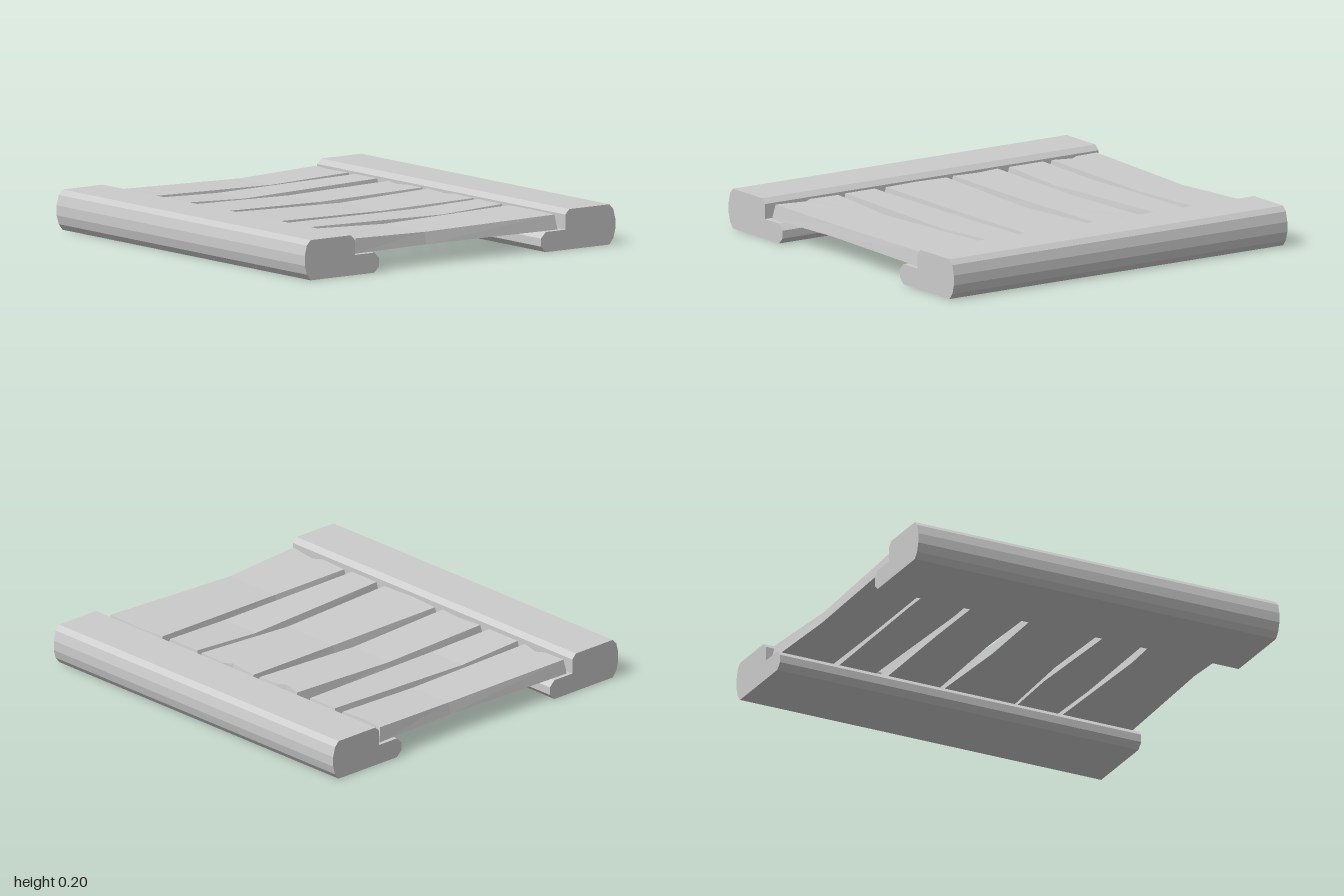
import * as THREE from 'three';

const material = new THREE.MeshStandardMaterial({ color: 0xcccccc, flatShading: true });

const BOTTOM = 0.1, TOP = 0.174, SAG = 0.16, INSET = 0.011;

// Stepped, chamfered side rail running the full length; side is +1 or -1
function makeRail(side) {
  const profile = [
    [0.53, 0], [0.923, 0], [0.947, 0.03], [0.96, 0.075], [0.96, 0.125], [0.947, 0.175], [0.923, 0.2],
    [0.675, 0.2], [0.651, 0.175], [0.651, 0.1], [0.53, 0.1], [0.5, 0.07], [0.5, 0.03],
  ];
  const shape = new THREE.Shape(profile.map(([x, y]) => new THREE.Vector2(x * side, y)));
  const geometry = new THREE.ExtrudeGeometry(shape, { depth: 2, bevelEnabled: false });
  geometry.translate(0, 0, -1);
  return new THREE.Mesh(geometry, material);
}

// Move an outline inwards by a fixed distance (mitred corners)
function insetOutline(points, distance) {
  const n = points.length;
  const normal = (a, b) => {
    const d = b.clone().sub(a).normalize();
    return new THREE.Vector2(-d.y, d.x);
  };
  return points.map((p, i) => {
    const n1 = normal(points[(i + n - 1) % n], p);
    const n2 = normal(p, points[(i + 1) % n]);
    return p.clone().addScaledVector(n1.clone().add(n2), distance / (1 + n1.dot(n2)));
  });
}

// Worn plank: left end runs back to front, right end front to back,
// joined by a bend point on each long edge; top is tapered and sags at the bend
function makePlank({ left, frontMid, right, backMid }) {
  const outline = [backMid, ...left, frontMid, ...right].map(([x, z]) => new THREE.Vector2(x, -z));
  const topOutline = insetOutline(outline, INSET);
  const n = outline.length, bend = left.length + 1;
  const low = outline.map((p) => [p.x, BOTTOM, -p.y]);
  const high = topOutline.map((p, i) => [p.x, i === 0 || i === bend ? SAG : TOP, -p.y]);
  const positions = [];
  const tri = (a, b, c) => positions.push(...a, ...b, ...c);

  // Sloping sides
  for (let i = 0; i < n; i++) {
    const j = (i + 1) % n;
    tri(low[i], low[j], high[j]);
    tri(low[i], high[j], high[i]);
  }
  // Top and bottom, split in two at the bend
  const indices = outline.map((_, i) => i);
  for (const half of [indices.slice(0, bend + 1), [...indices.slice(bend), 0]]) {
    const faces = THREE.ShapeUtils.triangulateShape(half.map((i) => topOutline[i]), []);
    for (const face of faces) {
      const [a, b, c] = face.map((k) => half[k]);
      tri(high[a], high[b], high[c]);
    }
    for (const face of THREE.ShapeUtils.triangulateShape(half.map((i) => outline[i]), [])) {
      const [a, b, c] = face.map((k) => half[k]);
      tri(low[c], low[b], low[a]);
    }
  }
  const geometry = new THREE.BufferGeometry();
  geometry.setAttribute('position', new THREE.Float32BufferAttribute(positions, 3));
  geometry.computeVertexNormals();
  return new THREE.Mesh(geometry, material);
}

// Plank outlines as [x, z], from the back to the front
const planks = [
  {
    left: [[-0.632, -0.98], [-0.627, -0.84], [-0.6, -0.8], [-0.632, -0.685]], frontMid: [0.135, -0.683],
    right: [[0.628, -0.69], [0.612, -0.84], [0.628, -0.98]], backMid: [0.135, -0.96],
  },
  {
    left: [[-0.628, -0.655], [-0.628, -0.43]], frontMid: [-0.235, -0.42],
    right: [[0.624, -0.457], [0.624, -0.655]], backMid: [-0.235, -0.665],
  },
  {
    left: [[-0.632, -0.385], [-0.616, -0.235], [-0.632, -0.095]], frontMid: [0, -0.113],
    right: [[0.626, -0.095], [0.621, -0.23], [0.594, -0.272], [0.628, -0.385]], backMid: [0, -0.392],
  },
  {
    left: [[-0.62, -0.072], [-0.632, 0.12], [-0.62, 0.315]], frontMid: [0.06, 0.293],
    right: [[0.624, 0.32], [0.636, 0.14], [0.605, 0.1], [0.632, -0.078]], backMid: [0.06, -0.053],
  },
  {
    left: [[-0.628, 0.355], [-0.628, 0.552]], frontMid: [0.23, 0.566],
    right: [[0.62, 0.552], [0.62, 0.335]], backMid: [0.23, 0.32],
  },
  {
    left: [[-0.62, 0.578], [-0.63, 0.755], [-0.6, 0.797], [-0.63, 0.972]], frontMid: [-0.167, 0.945],
    right: [[0.624, 0.972], [0.635, 0.755], [0.624, 0.578]], backMid: [-0.167, 0.602],
  },
];

export function createModel() {
  const model = new THREE.Group();
  model.name = 'plankWalkway';

  for (const [side, name] of [[1, 'leftRail'], [-1, 'rightRail']]) {
    const rail = makeRail(side);
    rail.name = name;
    model.add(rail);
  }
  planks.forEach((data, i) => {
    const plank = makePlank(data);
    plank.name = `plank${i + 1}`;
    model.add(plank);
  });
  return model;
}
